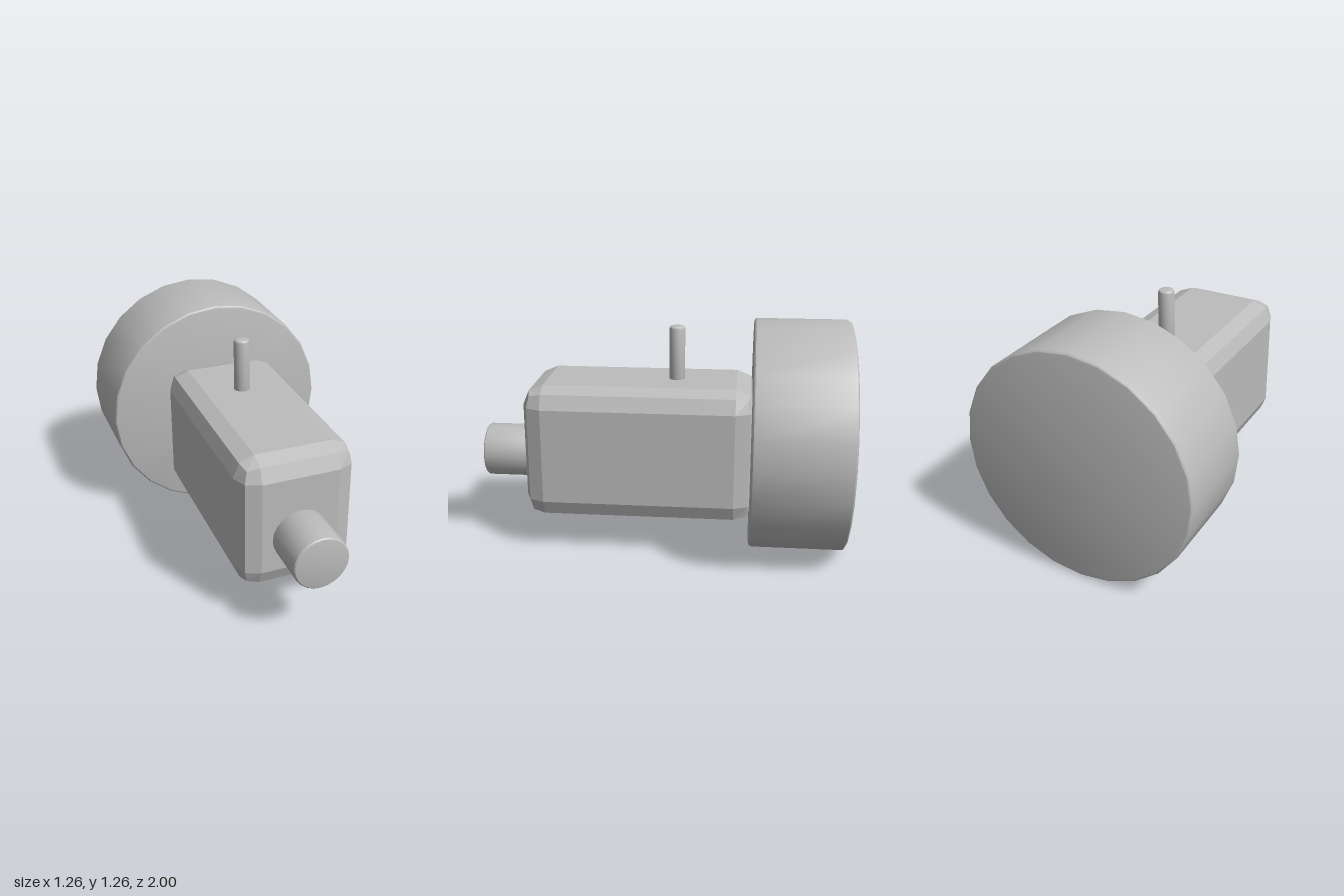
import * as THREE from 'three';
import { toCreasedNormals } from 'three/addons/utils/BufferGeometryUtils.js';
import { RoundedBoxGeometry } from 'three/addons/geometries/RoundedBoxGeometry.js';

const grey = new THREE.MeshStandardMaterial({ color: 0xbcbcbc });
grey.name = 'plain grey';

// Cylinder along y from y0 to y1 with small rounded rims at both ends
function rimmedCylinder(radius, y0, y1, rim) {
  const steps = 3;
  const points = [new THREE.Vector2(0, y0)];
  for (const end of [-1, 1]) {
    for (let i = 0; i <= steps; i++) {
      const a = (end < 0 ? i - steps : i) / steps * Math.PI / 2;
      const centre = end < 0 ? y0 + rim : y1 - rim;
      points.push(new THREE.Vector2(radius - rim + rim * Math.cos(a), centre + rim * Math.sin(a)));
    }
  }
  points.push(new THREE.Vector2(0, y1));
  return toCreasedNormals(new THREE.LatheGeometry(points, 24), 0.45);
}

export function createModel() {
  const model = new THREE.Group();
  model.name = 'model';

  const add = (name, geometry, x, y, z) => {
    const mesh = new THREE.Mesh(geometry, grey);
    mesh.name = name;
    mesh.position.set(x, y, z);
    model.add(mesh);
  };

  // Bevelled main housing with flat facets
  const housing = new RoundedBoxGeometry(0.63, 0.74, 1.25, 1, 0.11);
  housing.computeVertexNormals();
  add('housing', housing, 0, 0.56, 0.115);

  // Large drum at the back and round stub at the front, both along z
  add('rearDrum', rimmedCylinder(0.63, -1, -0.485, 0.018).rotateX(Math.PI / 2), 0, 0.63, 0);
  add('frontStub', rimmedCylinder(0.147, 0.68, 1, 0.014).rotateX(Math.PI / 2), 0, 0.485, 0);

  // Upright pin on top of the housing
  add('topPin', rimmedCylinder(0.043, 0.88, 1.222, 0.017), 0, 0, -0.073);

  return model;
}
